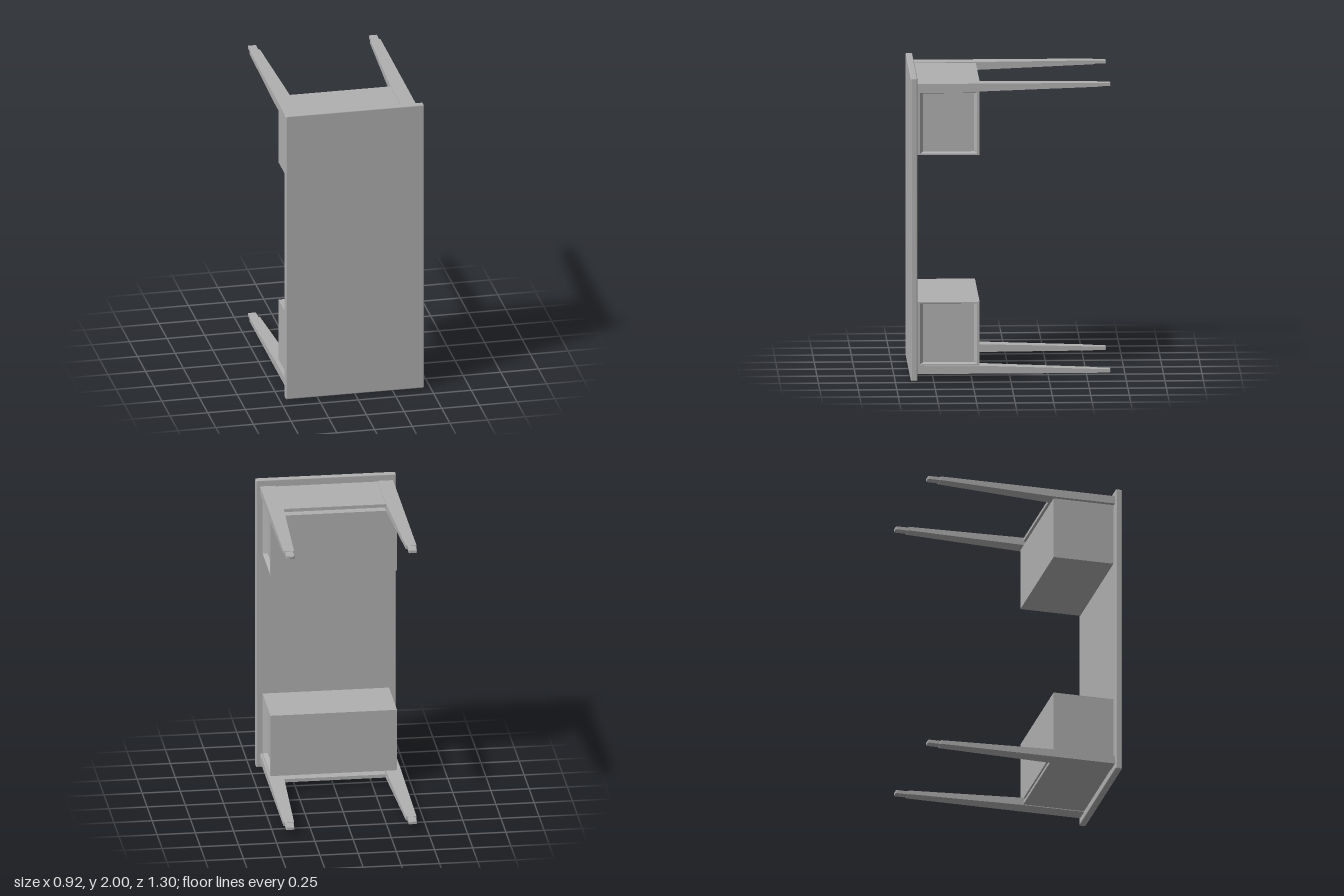
import * as THREE from 'three';
import { RoundedBoxGeometry } from 'three/addons/geometries/RoundedBoxGeometry.js';

const OFFSET_X = -0.0035; // the frame sits a touch off the middle of the top

// Closed flat-faced solid through a list of four-cornered rings
function loft(rings) {
  const tris = [];
  const quad = (a, b, c, d) => tris.push([a, b, c], [a, c, d]);
  for (let i = 0; i < rings.length - 1; i++) {
    for (let j = 0; j < 4; j++) {
      const k = (j + 1) % 4;
      quad(rings[i][j], rings[i][k], rings[i + 1][k], rings[i + 1][j]);
    }
  }
  quad(...[...rings[0]].reverse());
  quad(...rings[rings.length - 1]);
  // Signed volume tells whether the faces point outwards
  const volume = tris.reduce((s, [a, b, c]) => s + a.dot(b.clone().cross(c)), 0);
  const points = tris.flatMap(t => (volume < 0 ? [t[0], t[2], t[1]] : t));
  const geometry = new THREE.BufferGeometry().setFromPoints(points);
  geometry.computeVertexNormals();
  return geometry;
}

// Rectangle across z, mirrored to any of the four corners
const ringZ = (sx, sy, z, x0, x1, y0, y1) =>
  [[x0, y0], [x1, y0], [x1, y1], [x0, y1]].map(([x, y]) => new THREE.Vector3(sx * x, sy * y, z));

// Rectangle across x
const ringX = (x, z0, z1, y0, y1) =>
  [[z0, y0], [z1, y0], [z1, y1], [z0, y1]].map(([z, y]) => new THREE.Vector3(x, y, z));

export function createModel() {
  const model = new THREE.Group();
  const grey = new THREE.MeshStandardMaterial({ color: 0xb0b0b0 });
  grey.name = 'plainGrey';

  function add(name, geometry, x = 0, y = 0, z = 0) {
    const mesh = new THREE.Mesh(geometry, grey);
    mesh.name = name;
    mesh.position.set(x, y, z);
    model.add(mesh);
  }

  // Table top, standing on its short edge
  add('tableTop', new RoundedBoxGeometry(0.918, 2, 0.044, 2, 0.008), 0, 1, 0.627);

  for (const sy of [1, -1]) {
    // Tapered legs with a smaller foot
    for (const sx of [1, -1]) {
      add('leg', loft([
        ringZ(sx, sy, 0.605, 0.335, 0.435, 0.905, 0.957),
        ringZ(sx, sy, 0.195, 0.335, 0.435, 0.905, 0.957),
        ringZ(sx, sy, -0.565, 0.366, 0.435, 0.931, 0.957),
      ]), OFFSET_X, 1);
      add('foot', loft([
        ringZ(sx, sy, -0.565, 0.375, 0.427, 0.933, 0.955),
        ringZ(sx, sy, -0.645, 0.375, 0.427, 0.933, 0.955),
        ringZ(sx, sy, -0.649, 0.379, 0.423, 0.936, 0.952),
      ]), OFFSET_X, 1);
    }

    // Thin rail between each pair of legs, clear of the box
    add('rail', new THREE.BoxGeometry(0.69, 0.022, 0.408), OFFSET_X, 1 + sy * 0.941, 0.401);

    // Drawer box with a recessed front on the left side
    add('drawerBox', loft([
      ringX(-0.408, 0.2, 0.602, -0.21, 0.21),
      ringX(0.42, 0.2, 0.602, -0.21, 0.21),
      ringX(0.42, 0.216, 0.586, -0.2, 0.2),
      ringX(0.39, 0.236, 0.566, -0.192, 0.192),
    ]), OFFSET_X, 1 + sy * 0.695);
  }
  return model;
}
